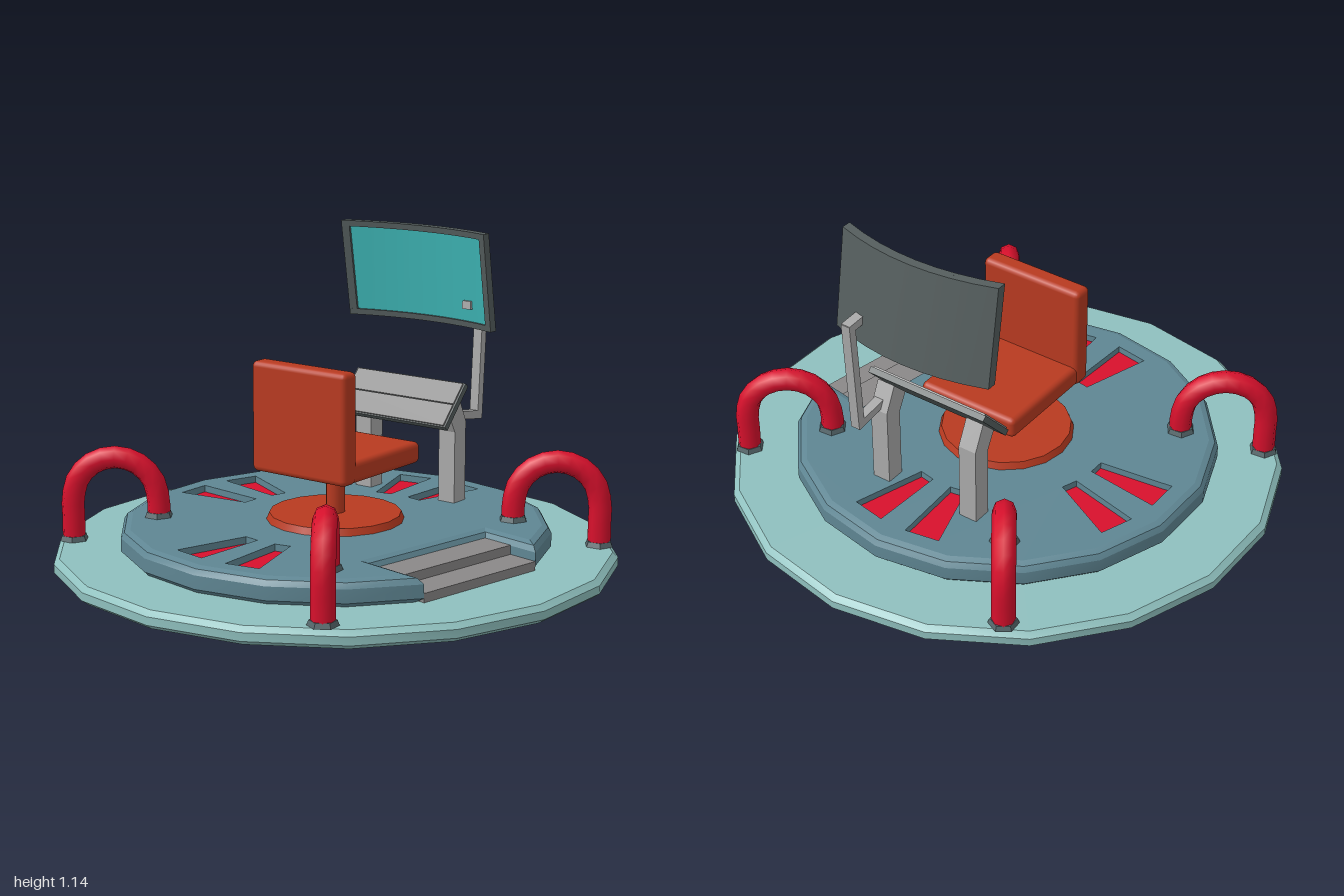
import * as THREE from 'three';
import { toCreasedNormals } from 'three/addons/utils/BufferGeometryUtils.js';
import { RoundedBoxGeometry } from 'three/addons/geometries/RoundedBoxGeometry.js';

const mat = (color) => new THREE.MeshStandardMaterial({ color });
const M = {
  base: mat(0x8fc0be), deck: mat(0x5f8693), red: mat(0xd8102c), orange: mat(0xb83a20),
  step: mat(0x8a8888), metal: mat(0xaaaaaa), dark: mat(0x555e5e), foot: mat(0x55666a),
  pad: mat(0x858585), cyan: mat(0x3fb8b8),
};
const rad = THREE.MathUtils.degToRad;

function add(parent, name, geo, material, x = 0, y = 0, z = 0) {
  const m = new THREE.Mesh(geo, material);
  m.name = name;
  m.position.set(x, y, z);
  parent.add(m);
  return m;
}

// Group whose local +x points at the given angle in the ground plane (from +x towards +z)
function spoke(parent, name, degrees) {
  const g = new THREE.Group();
  g.name = name;
  g.rotation.y = -rad(degrees);
  parent.add(g);
  return g;
}

// Ground-plane point from a spoke angle, distance along it and sideways offset
function polar(degrees, r, side = 0) {
  const c = Math.cos(rad(degrees)), s = Math.sin(rad(degrees));
  return new THREE.Vector2(r * c - side * s, r * s + side * c);
}

// Mitred inward offset of a polygon
function inset(pts, d) {
  const n = pts.length;
  const normal = (a, b) => new THREE.Vector2(a.y - b.y, b.x - a.x).normalize();
  return pts.map((p, i) => {
    const n1 = normal(pts[(i + n - 1) % n], p), n2 = normal(p, pts[(i + 1) % n]);
    return p.clone().addScaledVector(n1.clone().add(n2), d / (1 + n1.dot(n2)));
  });
}

// Rounded edge band around an outline; rows are [inset, height]
function rimGeometry(outline, rows) {
  const pos = [], idx = [], n = outline.length;
  rows.forEach(([d, y], r) => inset(outline, d).forEach((p, i) => {
    pos.push(p.x, y, p.y);
    if (!r) return;
    const j = (i + 1) % n, a = (r - 1) * n, b = r * n;
    idx.push(a + i, b + i, a + j, b + i, b + j, a + j);
  }));
  const g = new THREE.BufferGeometry();
  g.setAttribute('position', new THREE.Float32BufferAttribute(pos, 3));
  g.setIndex(idx);
  return toCreasedNormals(g, 0.45);
}

// Flat plate hanging down from y = 0, drawn in the ground plane
function plate(points, depth, holes = []) {
  const shape = new THREE.Shape(points);
  shape.holes = holes.map((h) => new THREE.Path(h));
  return new THREE.ExtrudeGeometry(shape, { depth, bevelEnabled: false }).rotateX(Math.PI / 2);
}

// Box bent into the display's curve: v is height, side is local z, out is depth behind the front
function bentBox(width, height, depth, side, v, out) {
  const g = new THREE.BoxGeometry(depth, height, width, 1, 1, 8);
  g.translate(out + depth / 2, v, side);
  const p = g.attributes.position;
  for (let i = 0; i < p.count; i++) {
    const z = p.getZ(i), y = p.getY(i);
    p.setX(i, p.getX(i) + 0.479 - y * 0.158 + 0.055 * (1 - (z / 0.315) ** 2));
  }
  return toCreasedNormals(g, 0.45);
}

function buildPlatform(root) {
  const profile = [[0, 0], [0.975, 0], [1, 0.018], [1, 0.047], [0.98, 0.065], [0, 0.065]];
  const disc = new THREE.LatheGeometry(profile.map(([x, y]) => new THREE.Vector2(x, y)), 18);
  add(root, 'basePlate', toCreasedNormals(disc.rotateY(rad(10)), 0.45), M.base);

  // Deck outline with a notch for the steps
  const outline = [polar(60, 0.715, -0.267), polar(60, 0.48, -0.267),
    polar(60, 0.48, 0.267), polar(60, 0.715, 0.267)];
  for (let a = 100; a <= 380; a += 20) outline.push(polar(a, 0.765));
  const rows = [[0.015, 0.065], [0, 0.08], [0, 0.128], [0.012, 0.147], [0.033, 0.155]];
  add(root, 'deckRim', rimGeometry(outline, rows), M.deck);

  // Deck top with wedge recesses, each with a red floor
  const wedge = (a) => [polar(a, 0.39, -0.03), polar(a, 0.665, -0.064),
    polar(a, 0.665, 0.064), polar(a, 0.39, 0.03)];
  const wedges = [140, 240, 320].flatMap((a) => [wedge(a - 10), wedge(a + 10)]);
  add(root, 'deckTop', plate(inset(outline, 0.033), 0.03, wedges), M.deck, 0, 0.155);
  wedges.forEach((w) => add(root, 'redInlay', plate(inset(w, -0.006), 0.01), M.red, 0, 0.13));

  const steps = spoke(root, 'steps', 60);
  add(steps, 'upperStep', new THREE.BoxGeometry(0.125, 0.065, 0.534), M.step, 0.5375, 0.0975, 0);
  add(steps, 'lowerStep', new THREE.BoxGeometry(0.115, 0.032, 0.534), M.step, 0.6575, 0.081, 0);
}

function buildHandle(root, angle) {
  const g = spoke(root, 'handle', angle);
  const path = [new THREE.Vector3(0.935, 0.07, 0), new THREE.Vector3(0.935, 0.15, 0)];
  for (let i = 0; i <= 6; i++) {
    const t = Math.PI * i / 6;
    path.push(new THREE.Vector3(0.7825 + 0.1525 * Math.cos(t), 0.217 + 0.1525 * Math.sin(t), 0));
  }
  path.push(new THREE.Vector3(0.63, 0.155, 0));
  add(g, 'handleTube', new THREE.TubeGeometry(new THREE.CatmullRomCurve3(path), 16, 0.041, 8), M.red);
  for (const [x, y] of [[0.935, 0.065], [0.63, 0.155]]) {
    const foot = new THREE.CylinderGeometry(0.046, 0.053, 0.018, 6);
    add(g, 'handleFoot', toCreasedNormals(foot, 0.5), M.foot, x, y + 0.009, 0);
  }
}

function buildChair(root) {
  const g = spoke(root, 'chair', -40);
  add(g, 'chairFoot', new THREE.CylinderGeometry(0.235, 0.245, 0.025, 18), M.orange, 0, 0.1675);
  add(g, 'chairColumn', new THREE.CylinderGeometry(0.034, 0.034, 0.18, 12), M.orange, 0, 0.26);
  add(g, 'seat', new RoundedBoxGeometry(0.45, 0.078, 0.4, 2, 0.02), M.orange, 0.015, 0.379);
  add(g, 'backrest', new RoundedBoxGeometry(0.075, 0.395, 0.41, 2, 0.02), M.orange, -0.18, 0.5375);
}

function buildConsole(root) {
  const g = spoke(root, 'console', -40);

  // Legs leaning towards the seat at the top
  const side = new THREE.Shape([[0.49, 0.15], [0.49, 0.45], [0.445, 0.545], [0.385, 0.485],
    [0.42, 0.42], [0.42, 0.15]].map(([x, y]) => new THREE.Vector2(x, y)));
  for (const s of [-1, 1]) {
    const leg = new THREE.ExtrudeGeometry(side, { depth: 0.07, bevelEnabled: false });
    add(g, 'consoleLeg', leg, M.metal, 0, 0, s * 0.188 - 0.035);
  }

  // Sloping control panel with two pads
  const panel = new THREE.Group();
  panel.name = 'controlPanel';
  panel.position.set(0.4, 0.52, 0);
  panel.rotation.z = rad(47);
  g.add(panel);
  add(panel, 'panelTray', new THREE.BoxGeometry(0.19, 0.022, 0.485), M.dark);
  for (const x of [-0.046, 0.046]) {
    add(panel, 'panelPad', new THREE.BoxGeometry(0.088, 0.008, 0.47), M.pad, x, 0.013, 0);
  }

  // Bent arm carrying the display
  const arm = [[0.46, 0.475], [0.59, 0.455], [0.615, 0.865], [0.53, 0.87]];
  for (let i = 0; i < 3; i++) {
    const [x0, y0] = arm[i], [x1, y1] = arm[i + 1];
    const bar = new THREE.BoxGeometry(Math.hypot(x1 - x0, y1 - y0) + 0.026, 0.03, 0.036);
    const m = add(g, 'displayArm', bar, M.metal, (x0 + x1) / 2, (y0 + y1) / 2, 0.2);
    m.rotation.z = Math.atan2(y1 - y0, x1 - x0);
  }

  // Curved display: back shell, raised border and screen
  const display = new THREE.Group();
  display.name = 'display';
  display.position.y = 0.965;
  g.add(display);
  add(display, 'displayShell', bentBox(0.63, 0.36, 0.022, 0, 0, 0.01), M.dark);
  add(display, 'screen', bentBox(0.575, 0.315, 0.006, 0, 0, 0.005), M.cyan);
  for (const s of [-1, 1]) {
    add(display, 'displayBorder', bentBox(0.63, 0.022, 0.014, 0, s * 0.169, -0.003), M.dark);
    add(display, 'displayBorder', bentBox(0.028, 0.316, 0.014, s * 0.301, 0, -0.003), M.dark);
  }
}

export function createModel() {
  const root = new THREE.Group();
  root.name = 'controlStation';
  buildPlatform(root);
  for (let k = 0; k < 4; k++) buildHandle(root, 15 + 90 * k);
  buildChair(root);
  buildConsole(root);
  return root;
}
